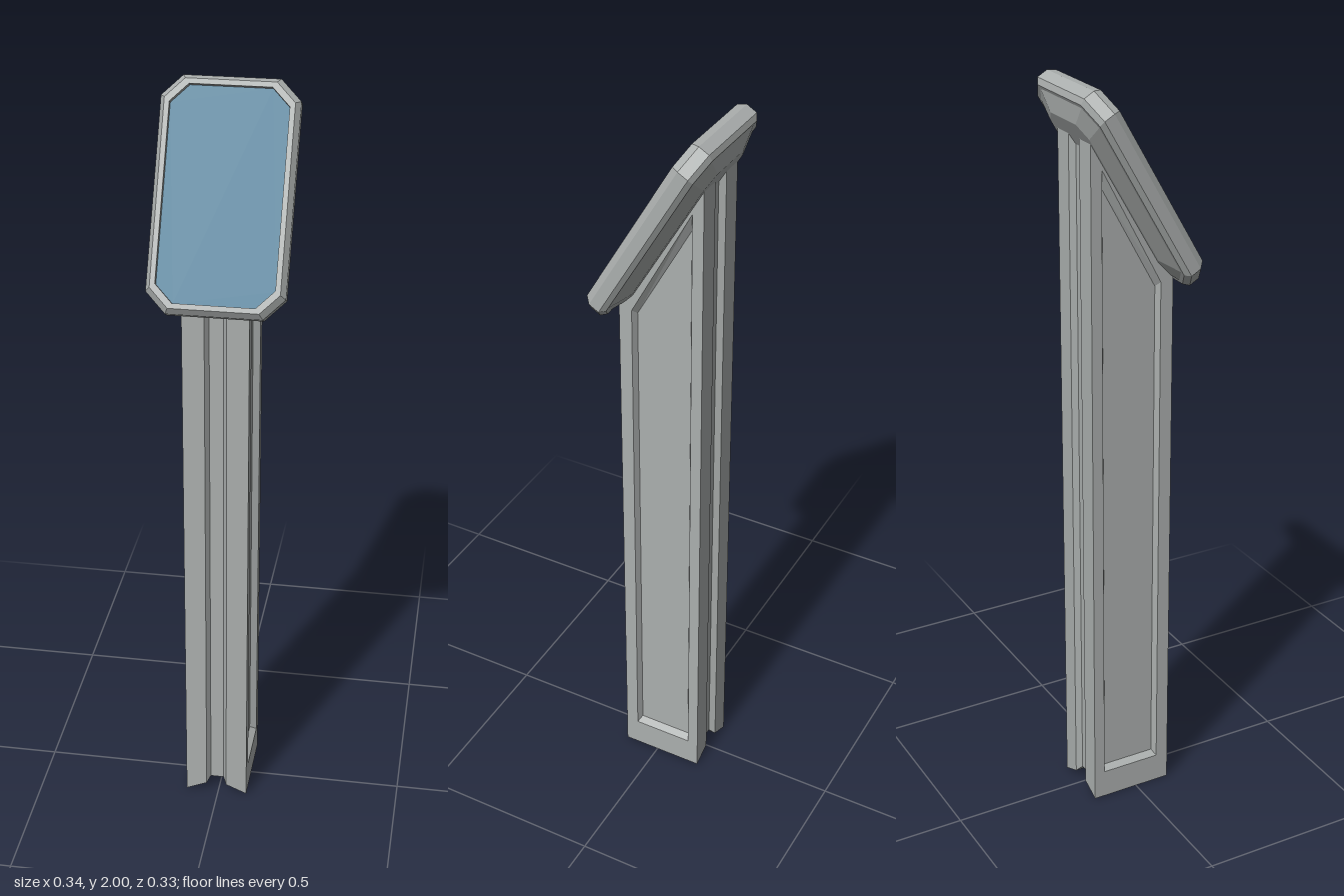
import * as THREE from 'three';

// Skin a series of matching rings (arrays of [x, y, z]) with flat faces; cap both ends if asked.
function loft(rings, capStart = true, capEnd = true) {
  const pos = [];
  const tri = (a, b, c) => pos.push(...a, ...b, ...c);
  const n = rings[0].length;
  for (let r = 0; r < rings.length - 1; r++) {
    const a = rings[r], b = rings[r + 1];
    for (let i = 0; i < n; i++) {
      const j = (i + 1) % n;
      tri(a[i], a[j], b[j]);
      tri(a[i], b[j], b[i]);
    }
  }
  const first = rings[0], last = rings[rings.length - 1];
  for (let i = 1; i < n - 1; i++) {
    if (capStart) tri(first[0], first[i + 1], first[i]);
    if (capEnd) tri(last[0], last[i], last[i + 1]);
  }
  const g = new THREE.BufferGeometry();
  g.setAttribute('position', new THREE.Float32BufferAttribute(pos, 3));
  g.computeVertexNormals();
  return g;
}

// Rectangle with cut corners, counter-clockwise
function octagon(w, h, cut, z) {
  return [
    [w, -h + cut, z], [w, h - cut, z], [w - cut, h, z], [-w + cut, h, z],
    [-w, h - cut, z], [-w, -h + cut, z], [-w + cut, -h, z], [w - cut, -h, z],
  ];
}

// Side outline of the post at a given x: back bottom, back top, front top, front bottom
function outline(x, back, front, bottom, backTop, frontTop) {
  return [[x, bottom, back], [x, backTop, back], [x, frontTop, front], [x, bottom, front]];
}

export function createModel() {
  const model = new THREE.Group();
  const metal = new THREE.MeshStandardMaterial({ color: 0xabafae });
  metal.name = 'grey metal';
  const glass = new THREE.MeshStandardMaterial({ color: 0x447a95 });
  glass.name = 'blue screen';

  const add = (parent, name, geometry, material) => {
    const mesh = new THREE.Mesh(geometry, material);
    mesh.name = name;
    parent.add(mesh);
    return mesh;
  };

  // Post: grooved down the middle, sunken panel in each side, slanted top
  const half = [
    [0.018, -0.115, 0.085, 0.04, 1.9, 1.53],    // groove floor
    [0.028, -0.13, 0.10, 0.025, 1.926, 1.528],  // groove lip
    [0.085, -0.13, 0.10, 0, 1.926, 1.528],      // outer edge
    [0.085, -0.10, 0.065, 0.08, 1.80, 1.49],    // panel rim
    [0.067, -0.09, 0.058, 0.092, 1.745, 1.475], // panel floor
  ];
  const rightRings = half.map(([x, ...rest]) => outline(-x, ...rest)).reverse();
  const leftRings = half.map((p) => outline(...p));
  const post = new THREE.Group();
  post.name = 'post';
  post.position.x = -0.005;
  model.add(post);
  add(post, 'postBody', loft([...rightRings, ...leftRings]), metal);

  // Block closing the top of the rear groove
  const stop = add(post, 'grooveEnd', new THREE.BoxGeometry(0.056, 0.035, 0.03), metal);
  stop.position.set(0, 1.883, -0.1145);

  // Tilted display head
  const head = new THREE.Group();
  head.name = 'head';
  head.position.set(0, 1.726, -0.026);
  head.rotation.x = -Math.PI / 6;
  model.add(head);

  const frame = [
    octagon(0.10, 0.225, 0.035, -0.02),   // rear mount
    octagon(0.15, 0.27, 0.045, 0),
    octagon(0.16, 0.28, 0.048, 0),        // rear rim
    octagon(0.172, 0.292, 0.052, 0.012),  // outer wall
    octagon(0.172, 0.292, 0.052, 0.042),
    octagon(0.16, 0.28, 0.048, 0.06),     // front rim
    octagon(0.147, 0.267, 0.045, 0.06),
    octagon(0.147, 0.267, 0.045, 0.045),  // screen seat
  ];
  add(head, 'frame', loft(frame, true, false), metal);

  // Recessed screen
  const corners = octagon(0.147, 0.267, 0.045, 0).map(([x, y]) => new THREE.Vector2(x, y));
  const screen = add(head, 'screen', new THREE.ShapeGeometry(new THREE.Shape(corners)), glass);
  screen.position.z = 0.045;

  return model;
}
